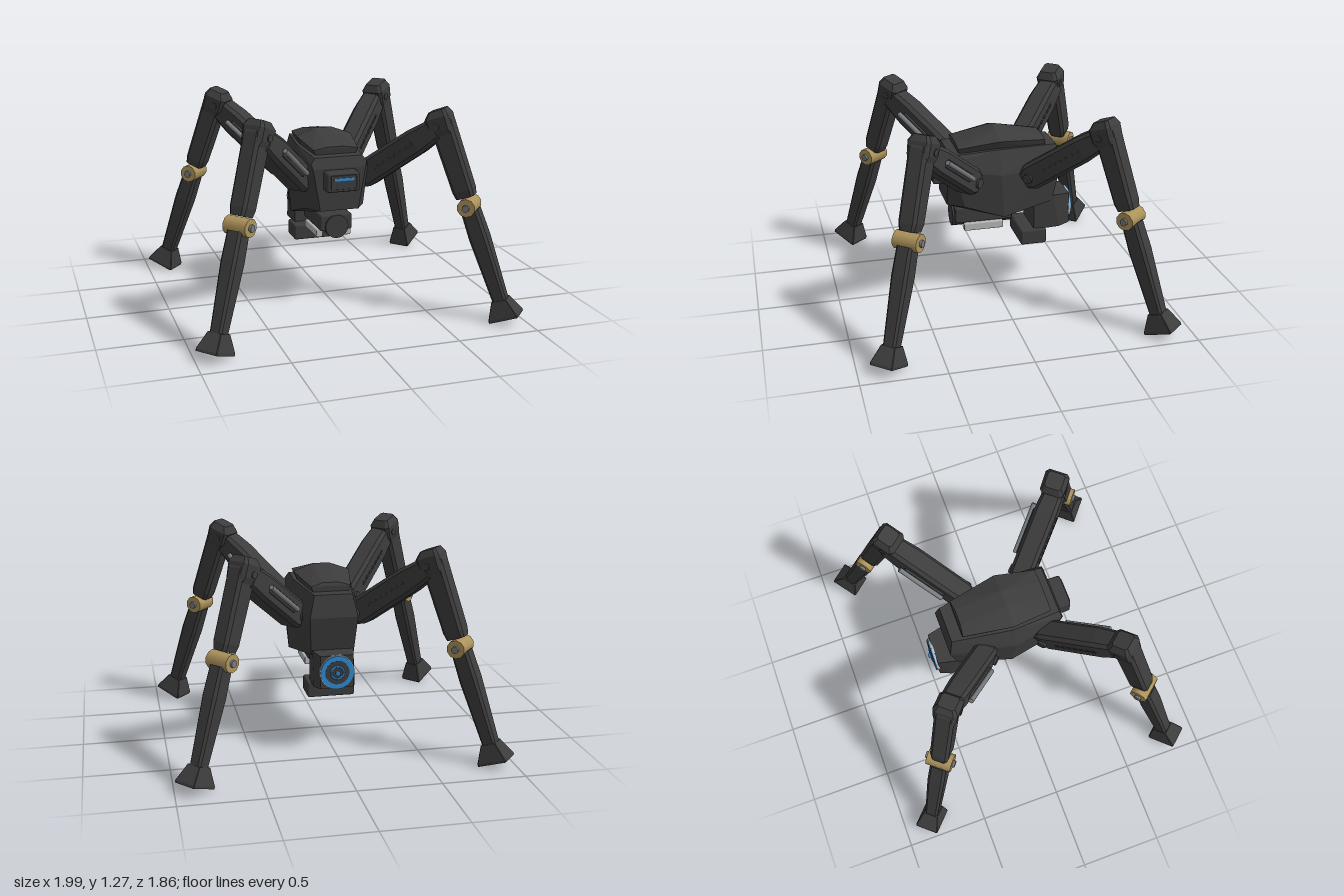
import * as THREE from 'three';
import { ConvexGeometry } from 'three/addons/geometries/ConvexGeometry.js';
import { RoundedBoxGeometry } from 'three/addons/geometries/RoundedBoxGeometry.js';

const material = (name, color) => {
  const m = new THREE.MeshStandardMaterial({ color });
  m.name = name;
  return m;
};

export function createModel() {
  const armor = material('dark armor', 0x3c3c3c);
  const brass = material('brass', 0xad945c);
  const blue = material('blue glow', 0x2f8ad2);
  const silver = material('silver', 0xb8b8b8);
  const steel = material('steel', 0x787c80);

  const model = new THREE.Group();
  model.name = 'fourLeggedWalker';

  const add = (parent, name, geometry, mat, x = 0, y = 0, z = 0) => {
    const mesh = new THREE.Mesh(geometry, mat);
    mesh.name = name;
    mesh.position.set(x, y, z);
    parent.add(mesh);
    return mesh;
  };

  // Convex plate from half-points mirrored across x
  const mirrored = (pts) => new ConvexGeometry(pts.flatMap(([x, y, z]) =>
    [new THREE.Vector3(x, y, z), new THREE.Vector3(-x, y, z)]));

  // Chamfered bar along y from sections [y, halfWidth, halfDepth, depthOffset]
  const bar = (sections, chamfer = 0.3) => {
    const pts = [];
    for (const [y, w, d, o = 0] of sections) {
      const c = Math.min(w, d) * chamfer;
      for (const sx of [-1, 1]) for (const sz of [-1, 1]) {
        pts.push(new THREE.Vector3(sx * w, y, o + sz * (d - c)));
        pts.push(new THREE.Vector3(sx * (w - c), y, o + sz * d));
      }
    }
    return new ConvexGeometry(pts);
  };

  const box = (w, h, d, r = 0.01) => new RoundedBoxGeometry(w, h, d, 1, r);

  // Cylinder lying along z or x
  const rod = (r, length, sides, axis) => {
    const g = new THREE.CylinderGeometry(r, r, length, sides);
    return axis === 'z' ? g.rotateX(Math.PI / 2) : g.rotateZ(Math.PI / 2);
  };

  // Body shell
  add(model, 'hull', mirrored([
    [0.15, 0.965, 0.30], [0.175, 0.93, 0.31], [0.12, 0.64, 0.32], [0.165, 0.90, 0.32],
    [0.185, 0.64, 0.22], [0.19, 0.88, 0.28],
    [0.21, 0.56, -0.02], [0.225, 0.84, 0], [0.175, 0.99, 0],
    [0.13, 0.605, -0.345], [0.145, 0.84, -0.395], [0.115, 0.975, -0.37],
  ]), armor);
  add(model, 'topHatch', mirrored([
    [0.14, 1.0, 0.25], [0.05, 1.015, 0.25], [0.12, 0.95, 0.24],
    [0.175, 1.04, 0], [0.05, 1.085, 0], [0.14, 0.96, 0],
    [0.12, 1.01, -0.3], [0.05, 1.03, -0.29], [0.1, 0.95, -0.3],
  ]), armor);

  // Front sensor
  add(model, 'sensorHousing', box(0.205, 0.12, 0.1, 0.014), armor, 0, 0.83, 0.35);
  add(model, 'sensorBezel', box(0.16, 0.085, 0.01, 0.004), armor, 0, 0.832, 0.4);
  add(model, 'sensorStrip', new THREE.BoxGeometry(0.125, 0.016, 0.008), blue, 0, 0.85, 0.404);

  // Underside pod
  add(model, 'bellyCylinder', rod(0.073, 0.38, 16, 'z'), armor, 0, 0.522, 0.085);
  add(model, 'bellyMount', box(0.2, 0.1, 0.36), armor, 0, 0.545, 0.083);
  for (const s of [-1, 1]) {
    add(model, 'bellyRail', box(0.042, 0.05, 0.25, 0.008), silver, s * 0.09, 0.468, 0.085);
  }

  // Rear pod with thruster
  add(model, 'rearPod', mirrored([
    [0.12, 0.60, -0.235], [0.12, 0.41, -0.235], [0.125, 0.42, -0.40], [0.125, 0.635, -0.36],
    [0.1, 0.63, -0.47], [0.1, 0.43, -0.47],
  ]), armor);
  add(model, 'rearKeel', box(0.29, 0.098, 0.165, 0.012), armor, 0, 0.37, -0.23);
  add(model, 'thrusterRim', rod(0.105, 0.014, 32, 'z'), silver, 0, 0.53, -0.473);
  add(model, 'thrusterGlow', rod(0.1, 0.01, 32, 'z'), blue, 0, 0.53, -0.482);
  add(model, 'thrusterFace', rod(0.072, 0.01, 32, 'z'), armor, 0, 0.53, -0.484);
  add(model, 'thrusterInnerRing', new THREE.TorusGeometry(0.038, 0.006, 6, 24), blue, 0, 0.53, -0.489);
  add(model, 'thrusterHub', rod(0.014, 0.03, 12, 'z'), blue, 0, 0.53, -0.492);

  // Group with y along a->b, x sideways, z towards the underside
  const limb = (name, a, b) => {
    const g = new THREE.Group();
    g.name = name;
    const y = b.clone().sub(a).normalize();
    const x = new THREE.Vector3(0, 1, 0).cross(y).normalize();
    const z = x.clone().cross(y);
    g.quaternion.setFromRotationMatrix(new THREE.Matrix4().makeBasis(x, y, z));
    g.position.copy(a);
    return g;
  };

  for (const sx of [1, -1]) for (const sz of [1, -1]) {
    const at = (x, y, z) => new THREE.Vector3(sx * x, y, sz * z);
    const hip = at(0.2, 0.81, 0.19), elbow = at(0.53, 1.15, 0.53);
    const knee = at(0.54, 1.245, 0.525), ankle = at(0.695, 0.7, 0.655), sole = at(0.885, 0.035, 0.82);

    const leg = new THREE.Group();
    leg.name = (sz > 0 ? 'front' : 'back') + (sx > 0 ? 'Left' : 'Right') + 'Leg';
    model.add(leg);

    // Upper arm with side rail and vents
    const upper = limb('upperArm', hip, elbow);
    const reach = hip.distanceTo(elbow);
    add(upper, 'upperArmShell', bar([[-0.03, 0.055, 0.06], [0.03, 0.07, 0.082],
      [reach - 0.15, 0.07, 0.08], [reach, 0.062, 0.065]]), armor);
    add(upper, 'sideRailMount', box(0.02, 0.3, 0.05, 0.006), armor, 0.072, 0.28, 0);
    add(upper, 'sideRail', new THREE.CylinderGeometry(0.015, 0.015, 0.33, 10), steel, 0.092, 0.29, 0);
    for (let i = 0; i < 7; i++) {
      add(upper, 'ventSlat', new THREE.BoxGeometry(0.01, 0.028, 0.014), armor, -0.07, 0.14 + i * 0.045, 0);
    }
    add(upper, 'hipPin', rod(0.03, 0.17, 12, 'x'), armor, 0, 0.02, 0);

    // Upper shin, knee cap and brass joint
    const shin = limb('upperShin', knee, ankle);
    const joint = knee.distanceTo(ankle);
    add(shin, 'upperShinShell', bar([[0, 0.05, 0.05], [0.06, 0.06, 0.068],
      [joint - 0.1, 0.058, 0.062], [joint - 0.055, 0.048, 0.055]]), armor);
    add(shin, 'kneeCap', bar([[-0.015, 0.052, 0.05], [0.025, 0.075, 0.075, 0.01],
      [0.1, 0.07, 0.072, 0.012], [0.15, 0.055, 0.06]], 0.25), armor);
    add(shin, 'kneePin', rod(0.022, 0.155, 10, 'x'), armor, 0, 0.075, 0.025);
    add(shin, 'brassJoint', rod(0.055, 0.155, 10, 'x'), brass, 0, joint, 0);
    add(shin, 'jointBolt', rod(0.022, 0.185, 8, 'x'), steel, 0, joint, 0);

    // Lower shin and flared foot
    const lower = limb('lowerShin', ankle, sole);
    const end = ankle.distanceTo(sole);
    add(lower, 'lowerShinShell', bar([[0.03, 0.05, 0.052], [0.2, 0.053, 0.056],
      [end - 0.09, 0.04, 0.042]]), armor);
    add(lower, 'foot', bar([[end - 0.115, 0.046, 0.046], [end - 0.015, 0.073, 0.09],
      [end, 0.073, 0.09]], 0.06), armor);
    leg.add(upper, shin, lower);
  }
  return model;
}
